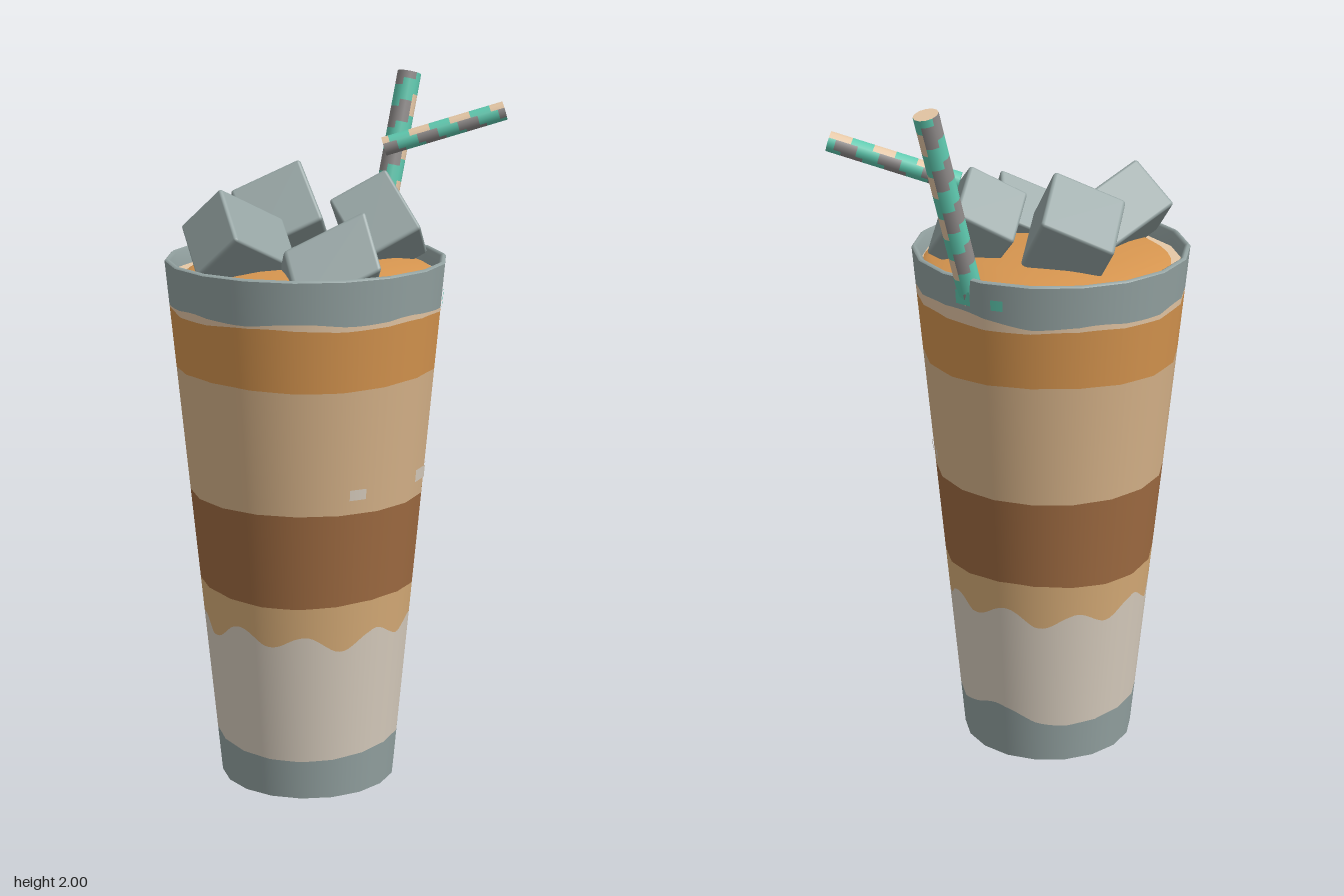
import * as THREE from 'three';
import { RoundedBoxGeometry } from 'three/addons/geometries/RoundedBoxGeometry.js';

const mat = (name, color) => {
  const m = new THREE.MeshStandardMaterial({ color });
  m.name = name;
  return m;
};

const HEIGHT = 1.515, SIDES = 18, CUP_X = -0.138;
const STEP = (Math.PI * 2) / SIDES;
const rad = THREE.MathUtils.degToRad;
const cupRadius = (y) => 0.252 + (0.143 * y) / HEIGHT;

// Radius of the 18-sided cup wall at a given angle (0 = front) and height
function wallRadius(angle, y) {
  const local = (((angle % STEP) + STEP) % STEP) - STEP / 2;
  return (cupRadius(y) * Math.cos(STEP / 2)) / Math.cos(local);
}

// Piece of cup wall between two heights, each a function of the angle
function wallPiece(a0, a1, segments, low, high, lift = 0) {
  const geo = new THREE.PlaneGeometry(1, 1, segments, 1);
  const pos = geo.attributes.position, nor = geo.attributes.normal;
  const n = new THREE.Vector3();
  for (let i = 0; i < pos.count; i++) {
    const a = a0 + (pos.getX(i) + 0.5) * (a1 - a0);
    const y = pos.getY(i) > 0 ? high(a) : low(a);
    const r = wallRadius(a, y) + lift;
    pos.setXYZ(i, Math.sin(a) * r, y, Math.cos(a) * r);
    n.set(Math.sin(a), -0.094, Math.cos(a)).normalize();
    nor.setXYZ(i, n.x, n.y, n.z);
  }
  return geo;
}

export function createModel() {
  const glass = mat('iceGrey', 0x94a3a2);
  const cream = mat('milkCream', 0xd9cebf);
  const caramel = mat('lightCaramel', 0xd8ad78);
  const coffee = mat('coffeeBrown', 0xa06c42);
  const latte = mat('latteTan', 0xd8b48a);
  const amber = mat('amber', 0xd6954f);
  const foam = mat('foam', 0xe6c8a6);
  const teal = mat('strawTeal', 0x5fcab0);
  const strawGrey = mat('strawGrey', 0x8f8b8a);

  const model = new THREE.Group();
  model.name = 'icedDrink';
  const cup = new THREE.Group();
  cup.name = 'cup';
  cup.position.x = CUP_X;
  model.add(cup);

  const add = (parent, name, geo, material) => {
    const mesh = new THREE.Mesh(geo, material);
    mesh.name = name;
    parent.add(mesh);
    return mesh;
  };

  // Layers of the drink, bottom to top, with wavy borders
  const bump = (a, centre, width) => {
    const d = Math.atan2(Math.sin(a - centre), Math.cos(a - centre)) / width;
    return Math.exp(-d * d);
  };
  const flat = (y) => () => y;
  const borders = [
    flat(0),
    (a) => 0.125 + 0.01 * Math.sin(2 * a) + 0.055 * bump(a, rad(115), 0.4),
    (a) => 0.48 + 0.022 * Math.sin(9 * a + 1) + 0.008 * Math.sin(4 * a),
    (a) => 0.588 + 0.006 * Math.sin(3 * a + 1),
    flat(0.857),
    (a) => 1.213 + 0.005 * Math.sin(3 * a),
    (a) => 1.382 + 0.004 * Math.sin(5 * a),
    (a) => 1.396 + 0.005 * Math.sin(7 * a) + 0.03 * bump(a, rad(95), 0.45),
    flat(HEIGHT),
  ];
  const layers = [
    ['glassBase', glass], ['milkLayer', cream], ['caramelLayer', caramel], ['coffeeLayer', coffee],
    ['latteLayer', latte], ['amberLayer', amber], ['foamLine', foam], ['glassRimBand', glass],
  ];
  layers.forEach(([name, material], i) =>
    add(cup, name, wallPiece(0, Math.PI * 2, SIDES * 8, borders[i], borders[i + 1]), material));

  // Underside
  const base = new THREE.CircleGeometry(cupRadius(0), SIDES, Math.PI / 2).rotateX(Math.PI / 2);
  add(cup, 'cupBottom', base, glass);

  // Rim lip and inner wall
  const lip = [[0.395, HEIGHT], [0.388, 1.521], [0.378, HEIGHT], [0.372, 1.465]]
    .map(([x, y]) => new THREE.Vector2(x, y));
  const lipMesh = add(cup, 'rimLip', new THREE.LatheGeometry(lip, SIDES), glass);
  lipMesh.geometry.computeVertexNormals();

  // Foam edge and domed drink surface
  const foamDisc = add(cup, 'foamEdge', new THREE.CircleGeometry(0.375, 36).rotateX(-Math.PI / 2), foam);
  foamDisc.position.y = 1.474;
  const dome = [[0.353, 1.475], [0.33, 1.49], [0.24, 1.512], [0.12, 1.522], [0, 1.525]]
    .map(([x, y]) => new THREE.Vector2(x, y));
  const surface = add(cup, 'drinkSurface', new THREE.LatheGeometry(dome, 36), amber);
  surface.position.set(0.008, 0, 0.01);

  // Small flecks on the wall: angle, height, width, tall, material
  const flecks = [
    [-11, 0.913, 0.05, 0.03, cream], [34, 0.922, 0.065, 0.035, cream],
    [59, 0.914, 0.035, 0.03, cream], [73, 0.914, 0.025, 0.025, cream],
    [45, 1.418, 0.07, 0.045, teal], [110, 1.46, 0.05, 0.04, teal], [126, 1.455, 0.035, 0.03, teal],
  ];
  for (const [deg, y, w, h, material] of flecks) {
    const half = w / 2 / cupRadius(y), a = rad(deg);
    add(cup, 'fleck', wallPiece(a - half, a + half, 6, flat(y - h / 2), flat(y + h / 2), 0.004), material);
  }

  // Ice cubes: top corner and the three edges leaving it
  const cubes = [
    [[-0.07, 1.77, -0.13], [0.115, -0.1, -0.12], [-0.17, -0.085, -0.09], [-0.01, -0.15, 0.125]],
    [[-0.415, 1.73, -0.01], [-0.055, -0.11, -0.11], [0.2, -0.1, 0.005], [-0.04, -0.115, 0.135]],
    [[0.07, 1.755, 0.09], [0.11, -0.094, -0.11], [-0.14, -0.082, -0.07], [0.015, -0.146, 0.14]],
    [[-0.13, 1.675, 0.26], [-0.2, -0.1, -0.09], [0.065, -0.1, -0.12], [-0.02, -0.14, 0.1]],
  ];
  for (const rows of cubes) {
    const [p, a, b, c] = rows.map((r) => new THREE.Vector3(...r));
    const centre = p.clone().addScaledVector(a, 0.5).addScaledVector(b, 0.5).addScaledVector(c, 0.5);
    const m = new THREE.Matrix4().makeBasis(a, b, c);
    if (m.determinant() < 0) m.makeBasis(b, a, c);
    m.setPosition(centre);
    add(model, 'iceCube', new RoundedBoxGeometry(1.03, 1.03, 1.03, 2, 0.05).applyMatrix4(m), glass);
  }

  // Straw tube with slanted stripes; pale stripes on the side facing paleDir
  function straw(name, from, to, radius, rows, paleDir, endCap) {
    const start = new THREE.Vector3(...from), end = new THREE.Vector3(...to);
    const dir = end.clone().sub(start), cols = 12;
    const geo = new THREE.CylinderGeometry(radius, radius, dir.length(), cols, rows);
    const q = new THREE.Quaternion().setFromUnitVectors(new THREE.Vector3(0, 1, 0), dir.clone().normalize());
    geo.applyQuaternion(q).translate(...start.add(end).multiplyScalar(0.5).toArray());
    const pale = new THREE.Vector3(...paleDir).normalize(), n = new THREE.Vector3();
    geo.clearGroups();
    for (let c = 0; c < cols; c++) {
      for (let r = 0; r < rows; r++) {
        const k = (c * rows + r) * 6;
        n.fromBufferAttribute(geo.attributes.normal, geo.index.getX(k));
        const isTeal = Math.floor((r + (c * 6) / cols) / 3) % 2 === 0;
        geo.addGroup(k, 6, isTeal ? 0 : n.dot(pale) > 0.45 ? 2 : 1);
      }
    }
    const caps = cols * rows * 6;
    geo.addGroup(caps, cols * 3, endCap);
    geo.addGroup(caps + cols * 3, cols * 3, 0);
    add(model, name, geo, [teal, strawGrey, foam]);
  }
  straw('strawStem', [0.182, 1.42, -0.118], [0.35, 1.99, -0.163], 0.035, 28, [0.7, 0, 0.7], 2);
  straw('strawBentEnd', [0.232, 1.785, -0.13], [0.515, 1.889, 0.075], 0.028, 18, [0, 1, 0], 0);

  return model;
}
